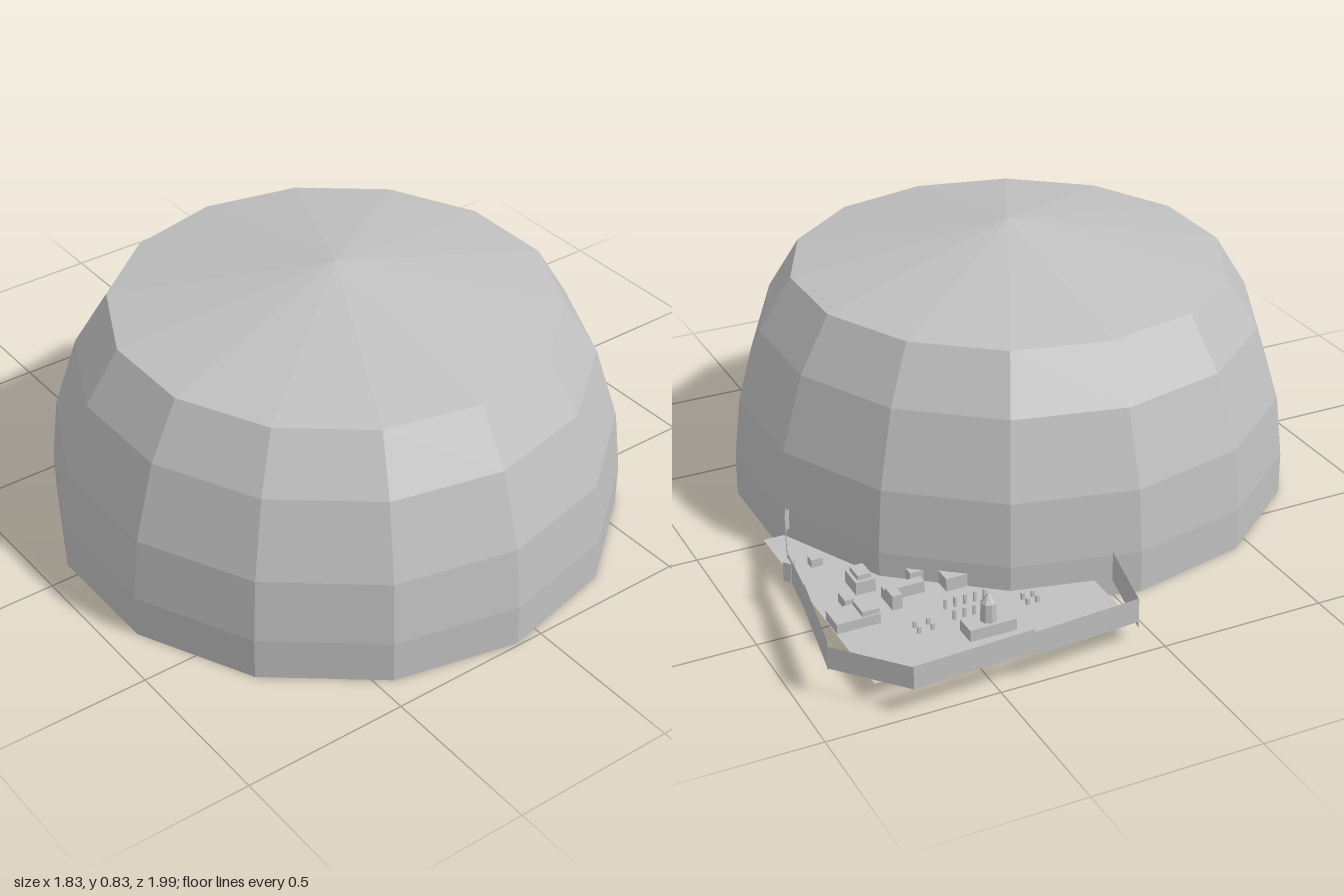
import * as THREE from 'three';

export function createModel() {
  const model = new THREE.Group();
  const gray = new THREE.MeshStandardMaterial({ color: 0xc0c0c0, flatShading: true, side: THREE.DoubleSide });
  gray.name = 'plain gray';
  const floorY = 0.055;

  function add(name, geometry, x = 0, y = 0, z = 0, parent = model) {
    const mesh = new THREE.Mesh(geometry, gray);
    mesh.name = name;
    mesh.position.set(x, y, z);
    parent.add(mesh);
    return mesh;
  }

  // Open-bottomed fourteen-sided dome with a shallow pointed roof
  const profile = [[0.857, 0], [0.857, 0.13], [0.836, 0.32], [0.764, 0.545], [0.664, 0.708]];
  const points = (list) => list.map(([r, y]) => new THREE.Vector2(r, y));
  add('domeShell', new THREE.LatheGeometry(points(profile), 14), -0.08, 0, 0.135);
  add('domeRoof', new THREE.LatheGeometry(points([[0.664, 0.708], [0, 0.835]]), 14), -0.08, 0, 0.135);

  // Thin village floor
  add('villageFloor', new THREE.PlaneGeometry(0.76, 0.825).rotateX(-Math.PI / 2), 0.435, floorY, -0.478);

  // Boundary panels: x and z of both ends, bottom and top
  const fence = new THREE.Group();
  fence.name = 'boundaryFence';
  model.add(fence);
  const panels = [
    [0.33, -0.04, 0.55, -0.03, 0.085, 0.15],
    [0.55, -0.03, 0.75, -0.09, 0.085, 0.15],
    [0.75, -0.09, 0.78, -0.16, 0.085, 0.17],
    [0.77, -0.13, 0.84, -0.34, 0.09, 0.15],
    [0.84, -0.34, 0.865, -0.54, 0.085, 0.163],
    [0.865, -0.53, 0.915, -0.82, 0.085, 0.175],
    [0.915, -0.81, 0.75, -1.0, 0.085, 0.153],
    [0.75, -1.0, 0.39, -0.98, 0.085, 0.155],
    [0.39, -0.98, 0.06, -0.955, 0.07, 0.145],
    [0.06, -0.955, 0.0, -0.69, 0.05, 0.14],
  ];
  for (const [x1, z1, x2, z2, low, high] of panels) {
    const length = Math.hypot(x2 - x1, z2 - z1);
    const panel = add('fencePanel', new THREE.PlaneGeometry(length, high - low),
      (x1 + x2) / 2, (low + high) / 2, (z1 + z2) / 2, fence);
    panel.rotation.y = -Math.atan2(z2 - z1, x2 - x1);
  }

  // Small buildings: name, centre x and z, width, height, depth
  const village = new THREE.Group();
  village.name = 'village';
  model.add(village);
  const block = (name, x, z, w, h, d) =>
    add(name, new THREE.BoxGeometry(w, h, d), x, floorY + h / 2, z, village);
  block('hall', 0.435, -0.79, 0.14, 0.035, 0.065);
  block('longHouse', 0.57, -0.52, 0.12, 0.035, 0.03);
  block('longHouseWing', 0.615, -0.56, 0.03, 0.045, 0.05);
  block('squareHouse', 0.66, -0.428, 0.06, 0.04, 0.08);
  block('squareHouseRoof', 0.66, -0.428, 0.04, 0.055, 0.06);
  block('edgeHouse', 0.748, -0.588, 0.13, 0.03, 0.08);
  block('edgeHouseUpper', 0.71, -0.588, 0.05, 0.045, 0.07);
  block('hut', 0.732, -0.5, 0.03, 0.03, 0.05);
  block('hut', 0.73, -0.26, 0.035, 0.025, 0.03);
  block('cottage', 0.42, -0.53, 0.07, 0.04, 0.06);
  block('cottage', 0.5, -0.46, 0.06, 0.035, 0.04);

  // Round tower with a pointed cap
  add('tower', new THREE.CylinderGeometry(0.022, 0.026, 0.09, 8), 0.435, floorY + 0.045, -0.79, village);
  add('towerCap', new THREE.ConeGeometry(0.022, 0.03, 8), 0.435, floorY + 0.105, -0.79, village);

  // Rows of posts in front of the hall
  for (let i = 0; i < 5; i++) {
    for (const z of [-0.70, -0.64]) block('post', 0.375 + i * 0.03, z, 0.008, 0.03, 0.008);
  }
  for (const x of [0.25, 0.28, 0.57, 0.61]) {
    for (const z of [-0.72, -0.69]) block('post', x, z, 0.01, 0.02, 0.008);
  }

  // Small lookout box beside the fence
  const lookout = add('lookoutBox', new THREE.BoxGeometry(0.025, 0.06, 0.025), 0.845, 0.12, -0.36, fence);
  lookout.rotation.y = 0.7;

  // Little marker at the centre of the dome
  add('marker', new THREE.BoxGeometry(0.045, 0.01, 0.03), -0.08, 0.015, 0.135);
  add('markerTop', new THREE.ConeGeometry(0.014, 0.03, 6), -0.08, 0.035, 0.135);
  return model;
}
